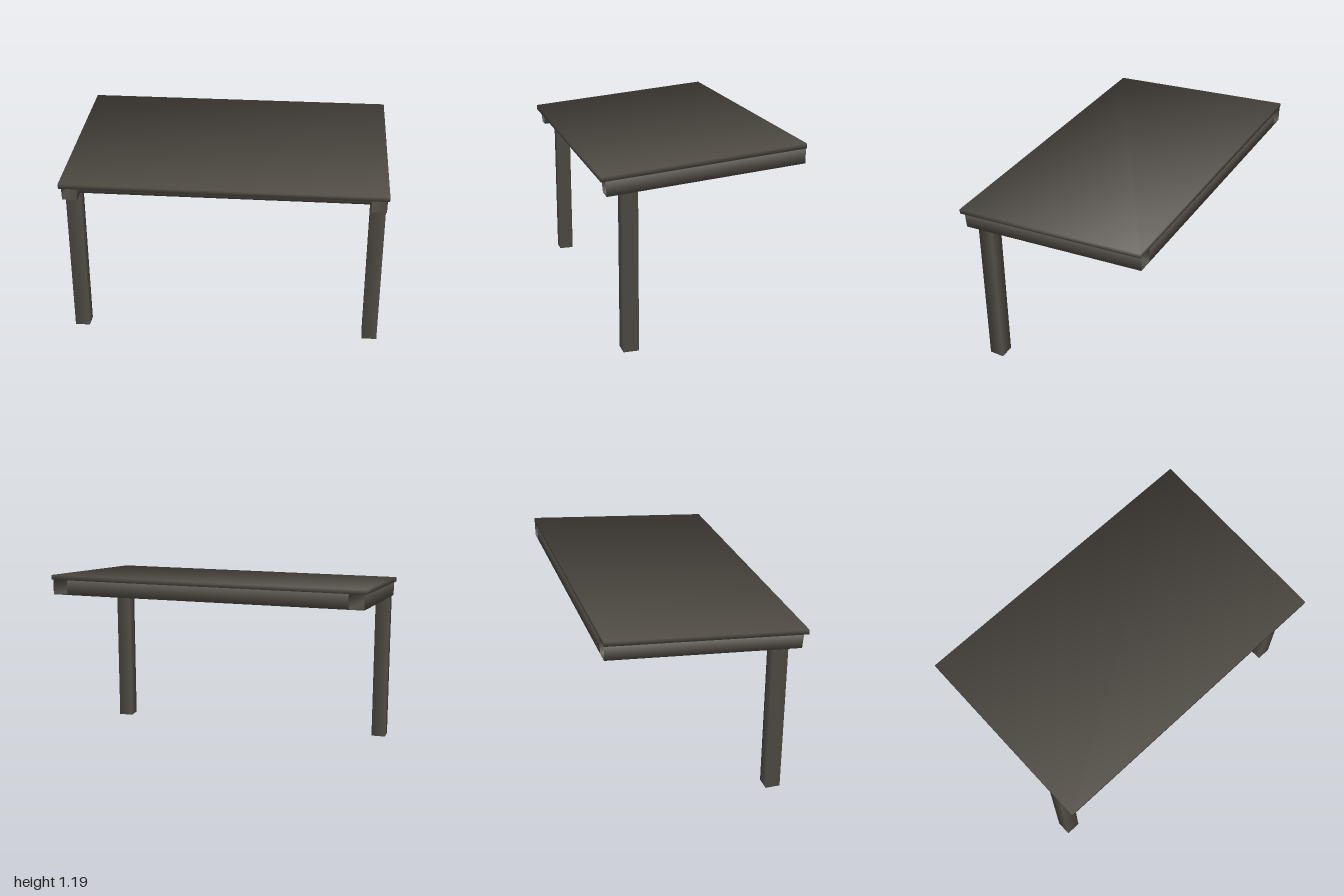
import * as THREE from 'three';

const SLOPE = 0.086;   // fall of the roof towards the front
const BEAM_H = 0.093;
const underside = z => 1.108 - SLOPE * z; // height of the roof panel's lower face

// Open square tube along y, shaded softly round its corners
function tube(w, h, d) {
  const g = new THREE.CylinderGeometry(Math.SQRT1_2, Math.SQRT1_2, 1, 4, 1, true);
  g.rotateY(Math.PI / 4);
  const n = g.attributes.normal.clone();
  g.scale(w, h, d);
  g.setAttribute('normal', n);
  return g;
}

// Move every vertex by a rule on its position
function bend(g, rule) {
  const p = g.attributes.position, v = new THREE.Vector3();
  for (let i = 0; i < p.count; i++) {
    v.fromBufferAttribute(p, i);
    rule(v);
    p.setXYZ(i, v.x, v.y, v.z);
  }
  return g;
}

export function createModel() {
  const group = new THREE.Group();
  const metal = new THREE.MeshStandardMaterial({ color: 0x524d46, side: THREE.DoubleSide });
  metal.name = 'darkBronze';

  const add = (name, geometry) => {
    const mesh = new THREE.Mesh(geometry, metal);
    mesh.name = name;
    group.add(mesh);
  };

  // Sloping roof panel with soft corner normals
  const panel = new THREE.BoxGeometry(2, 0.03, 1.236);
  const p = panel.attributes.position, n = panel.attributes.normal;
  for (let i = 0; i < p.count; i++) {
    const k = 1 / Math.sqrt(3);
    n.setXYZ(i, Math.sign(p.getX(i)) * k, Math.sign(p.getY(i)) * k, Math.sign(p.getZ(i)) * k);
  }
  add('roofPanel', bend(panel, v => { v.y += 0.015 + underside(v.z); }));

  for (const [side, s] of [['left', 1], ['right', -1]]) {
    // Side rail: square cut at the front, plumb cut at the back
    const rail = tube(0.094, 1, BEAM_H).rotateX(Math.PI / 2);
    bend(rail, v => {
      v.z = v.z > 0 ? 0.587 + v.y * 0.09 : -0.618;
      v.y += underside(v.z) - BEAM_H / 2;
      v.x += s * 0.942;
    });
    add(side + 'Rail', rail);

    // Post, with its top following the rail
    const post = tube(0.094, 1, 0.094);
    bend(post, v => {
      v.x += s * 0.942;
      v.z += 0.448;
      v.y = v.y > 0 ? underside(v.z) - BEAM_H : 0;
    });
    add(side + 'Post', post);
  }

  // Cross beams between the rails
  for (const [name, z] of [['frontBeam', 0.448], ['backBeam', -0.571]]) {
    const beam = tube(BEAM_H, 1.79, 0.094).rotateZ(Math.PI / 2);
    bend(beam, v => {
      v.z += z;
      v.y += underside(v.z) - BEAM_H / 2;
    });
    add(name, beam);
  }
  return group;
}
